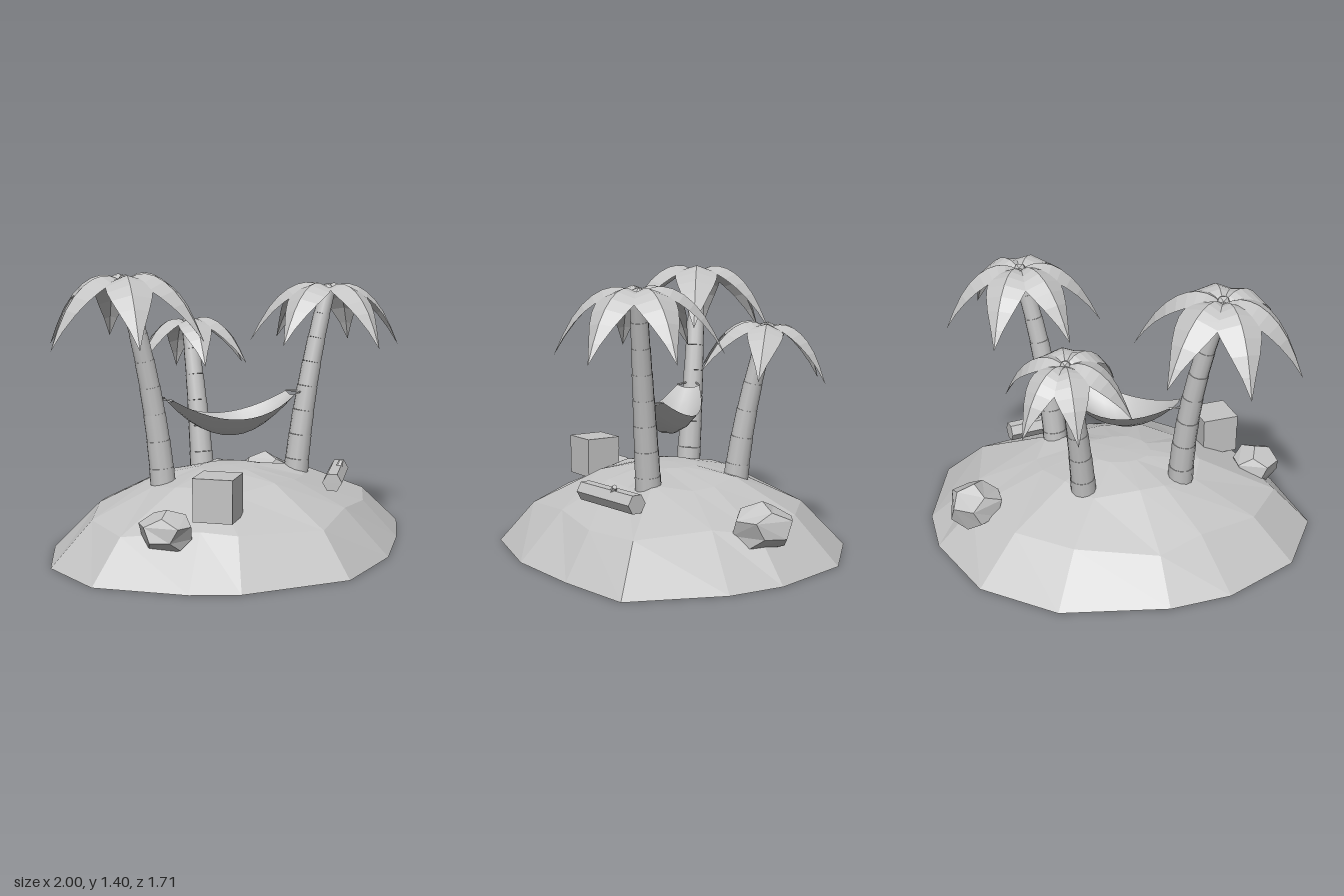
import * as THREE from 'three';

const grey = new THREE.MeshStandardMaterial({ color: 0xc4c4c4, side: THREE.DoubleSide });
grey.name = 'plain grey';

function add(parent, name, geometry, x = 0, y = 0, z = 0) {
  const mesh = new THREE.Mesh(geometry, grey);
  mesh.name = name;
  mesh.position.set(x, y, z);
  parent.add(mesh);
  return mesh;
}

// Faceted normals for low-poly parts
function flat(geometry) {
  const g = geometry.index ? geometry.toNonIndexed() : geometry;
  g.computeVertexNormals();
  return g;
}

// Skin a grid of points: rows of equal length
function loft(rows, closed = false) {
  const n = rows[0].length, index = [];
  for (let i = 0; i < rows.length - 1; i++) {
    for (let j = 0; j < (closed ? n : n - 1); j++) {
      const k = (j + 1) % n, a = i * n + j, b = i * n + k;
      index.push(a, a + n, b, b, a + n, b + n);
    }
  }
  const g = new THREE.BufferGeometry();
  g.setAttribute('position', new THREE.Float32BufferAttribute(rows.flat(2), 3));
  g.setIndex(index);
  g.computeVertexNormals();
  return g;
}

// Cylinder between two points
function rod(parent, name, a, b, r0, r1, sides) {
  const mesh = add(parent, name, new THREE.CylinderGeometry(r1, r0, a.distanceTo(b), sides));
  mesh.position.copy(a).lerp(b, 0.5);
  mesh.quaternion.setFromUnitVectors(new THREE.Vector3(0, 1, 0), b.clone().sub(a).normalize());
  return mesh;
}

// Island: shore outline shrunk into rising, slightly uneven rings; open below
function island(parent) {
  const shore = [[-1, 0], [-0.82, 0.42], [-0.67, 0.6], [-0.18, 0.855], [0.28, 0.785], [0.66, 0.61], [1, 0.41],
    [1, -0.07], [0.91, -0.34], [0.64, -0.69], [0.24, -0.855], [-0.29, -0.79], [-0.58, -0.67], [-0.89, -0.38]];
  const levels = [[1, 0], [0.77, 0.215], [0.42, 0.36], [0.16, 0.41], [0, 0.415]];
  const rows = levels.map(([s, y], i) => shore.map(([x, z], j) => {
    const wobble = i === 1 || i === 2 ? Math.sin(j * 2.3 + i * 1.7) : 0;
    const k = s * (1 + 0.05 * wobble);
    return [x * k, y - 0.018 * wobble, z * k];
  }));
  add(parent, 'island', flat(loft(rows, true)));
}

// Arching leaf along +x with a folded midrib, tapering to a point
function leafGeometry() {
  const spine = new THREE.CatmullRomCurve3([[0.01, -0.035], [0.07, -0.004], [0.15, -0.006], [0.24, -0.055],
    [0.33, -0.16], [0.415, -0.33]].map(([x, y]) => new THREE.Vector3(x, y, 0)));
  const width = new THREE.SplineCurve([[0, 0.025], [0.2, 0.062], [0.42, 0.105], [0.6, 0.105], [0.8, 0.065], [1, 0]]
    .map(p => new THREE.Vector2(...p)));
  const rows = [];
  for (let i = 0; i <= 9; i++) {
    const t = i / 9, p = spine.getPoint(t), d = spine.getTangent(t);
    const w = Math.max(0, width.getPoint(t).y);
    rows.push([-1, 0, 1].map(s => {
      const drop = Math.abs(s) * w * 0.35;
      return [p.x + d.y * drop, p.y - d.x * drop, s * w];
    }));
  }
  return flat(loft(rows.map(r => r.reverse())));
}

function palm(parent, name, { base, bend, top, segments, size, angles, tilt }) {
  const tree = new THREE.Group();
  tree.name = name;
  parent.add(tree);
  const curve = new THREE.QuadraticBezierCurve3(...[base, bend, top].map(p => new THREE.Vector3(...p)));
  const radius = t => 0.065 - 0.027 * t;
  // Trunk of stacked, slightly stepped segments
  for (let i = 0; i < segments; i++) {
    const t0 = i / segments, t1 = (i + 1) / segments;
    rod(tree, 'trunkSegment', curve.getPoint(t0), curve.getPoint(t1), radius(t0), radius(t1) + 0.002, 12);
  }
  // Crown of six leaves around a bud
  const crown = new THREE.Group();
  crown.name = 'crown';
  crown.position.set(top[0], top[1] + 0.04 * size, top[2]);
  crown.rotation.set(tilt[0], 0, tilt[1]);
  crown.scale.setScalar(size);
  tree.add(crown);
  const leaf = leafGeometry();
  for (const a of angles) add(crown, 'leaf', leaf).rotation.y = -THREE.MathUtils.degToRad(a);
  add(crown, 'bud', flat(new THREE.IcosahedronGeometry(0.036, 0)), 0, -0.035, 0);
}

// Hammock: sagging trough with two cords at each end
function hammock(parent) {
  const group = new THREE.Group();
  group.name = 'hammock';
  parent.add(group);
  const point = (s, v) => {
    const w = (0.135 - 0.075 * s * s) * v;
    return new THREE.Vector3(0.025 + 0.305 * s - 0.46 * w,
      0.563 + 0.19 * s * s + v * v * (0.1 - 0.085 * s * s), 0.155 * s + 0.89 * w);
  };
  const rows = [];
  for (let i = 0; i <= 12; i++) {
    rows.push([-1, -0.6, -0.2, 0.2, 0.6, 1].map(v => point(i / 6 - 1, v).toArray()));
  }
  add(group, 'hammockCloth', loft(rows.map(r => r.reverse())));
  const anchors = [[-1, new THREE.Vector3(-0.35, 0.78, -0.2)], [1, new THREE.Vector3(0.4, 0.77, 0.19)]];
  for (const [s, anchor] of anchors) {
    for (const v of [-1, 1]) rod(group, 'cord', point(s, v), anchor, 0.005, 0.005, 5);
  }
}

function rock(parent, name, x, y, z, sx, sy, sz, turn) {
  const g = new THREE.DodecahedronGeometry(1, 0);
  g.rotateZ(0.35);
  g.rotateY(turn);
  const p = g.attributes.position;
  for (let i = 0; i < p.count; i++) {
    const k = 1 + 0.07 * Math.sin(p.getX(i) * 5 + p.getY(i) * 3 + p.getZ(i) * 4);
    p.setXYZ(i, p.getX(i) * k * sx, p.getY(i) * k * sy, p.getZ(i) * k * sz);
  }
  add(parent, name, flat(g), x, y, z);
}

export function createModel() {
  const model = new THREE.Group();
  model.name = 'palmIsland';
  island(model);

  palm(model, 'tallPalm', { base: [-0.315, 0.29, -0.16], bend: [-0.33, 0.85, -0.2], top: [-0.495, 1.35, -0.25],
    segments: 8, size: 1, angles: [198, 249, 304, 14, 78, 130], tilt: [-0.03, 0.05] });
  palm(model, 'frontPalm', { base: [0.35, 0.29, 0.17], bend: [0.38, 0.8, 0.2], top: [0.52, 1.29, 0.25],
    segments: 8, size: 0.95, angles: [178, 227, 284, 345, 44, 103], tilt: [0.02, -0.03] });
  palm(model, 'backPalm', { base: [0.16, 0.29, -0.3], bend: [0.175, 0.7, -0.34], top: [0.225, 1.1, -0.445],
    segments: 6, size: 0.79, angles: [198, 256, 304, 18, 79, 128], tilt: [-0.1, -0.02] });

  hammock(model);

  // Crate with a lid
  const crate = new THREE.Group();
  crate.name = 'crate';
  crate.position.set(-0.487, 0.27, 0.32);
  crate.rotation.y = 0.4;
  model.add(crate);
  add(crate, 'crateBody', new THREE.BoxGeometry(0.19, 0.14, 0.19), 0, 0.07, 0);
  add(crate, 'crateLid', new THREE.BoxGeometry(0.193, 0.065, 0.193), 0, 0.1725, 0);

  // Fallen log with a broken branch
  const log = new THREE.Group();
  log.name = 'log';
  log.position.set(0.435, 0.338, 0.37);
  log.rotation.y = 0.49;
  model.add(log);
  const stem = add(log, 'logStem', flat(new THREE.CylinderGeometry(0.05, 0.05, 0.41, 6)));
  stem.rotation.z = Math.PI / 2;
  const stub = add(log, 'logBranch', flat(new THREE.CylinderGeometry(0.013, 0.02, 0.06, 6)), 0.045, 0.04, 0.015);
  stub.rotation.set(0.3, 0, -0.7);

  rock(model, 'leftRock', -0.71, 0.235, 0.2, 0.125, 0.1, 0.135, 0.4);
  rock(model, 'rightRock', 0.715, 0.235, -0.29, 0.142, 0.115, 0.155, 1.3);
  return model;
}
